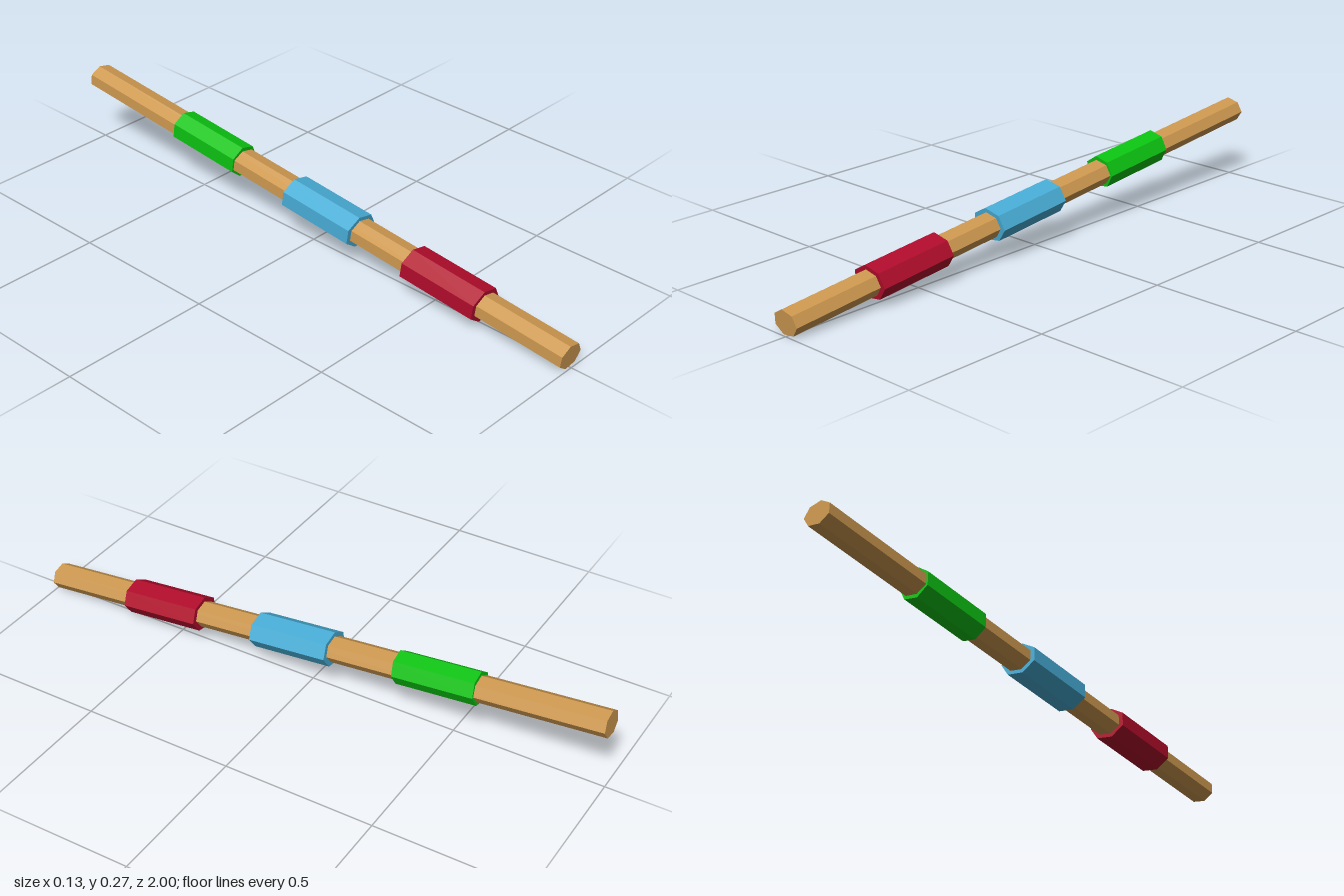
import * as THREE from 'three';

const TILT = 0.098;
const ROLL = -0.052;

function material(name, color) {
  const m = new THREE.MeshStandardMaterial({ color, flatShading: true });
  m.name = name;
  return m;
}

// Seven-sided prism along z, flattened to radii rx and ry
function prism(name, mat, rx, ry, length, z) {
  const g = new THREE.CylinderGeometry(1, 1, length, 7, 1, false, Math.PI / 2 + ROLL);
  g.rotateX(Math.PI / 2);
  g.scale(rx, ry, 1);
  const mesh = new THREE.Mesh(g, mat);
  mesh.name = name;
  mesh.position.z = z;
  return mesh;
}

export function createModel() {
  const model = new THREE.Group();
  model.name = 'bandedStaff';

  // Tilted assembly, rising toward the back
  const staff = new THREE.Group();
  staff.name = 'staff';
  staff.position.set(-0.003, 0.139, 0);
  staff.rotation.x = TILT;
  model.add(staff);

  // Wooden rod
  staff.add(prism('rod', material('wood', 0xcd984f), 0.0495, 0.0405, 2.002, 0));

  // Coloured grips, front to back
  const grips = [
    ['redGrip', material('red', 0xb00c2b), 0.0665, 0.55],
    ['blueGrip', material('blue', 0x47acd5), 0.0665, 0.062],
    ['greenGrip', material('green', 0x0cc312), 0.056, -0.443],
  ];
  for (const [name, mat, rx, z] of grips) {
    staff.add(prism(name, mat, rx, 0.054, 0.275, z / Math.cos(TILT)));
  }
  return model;
}
